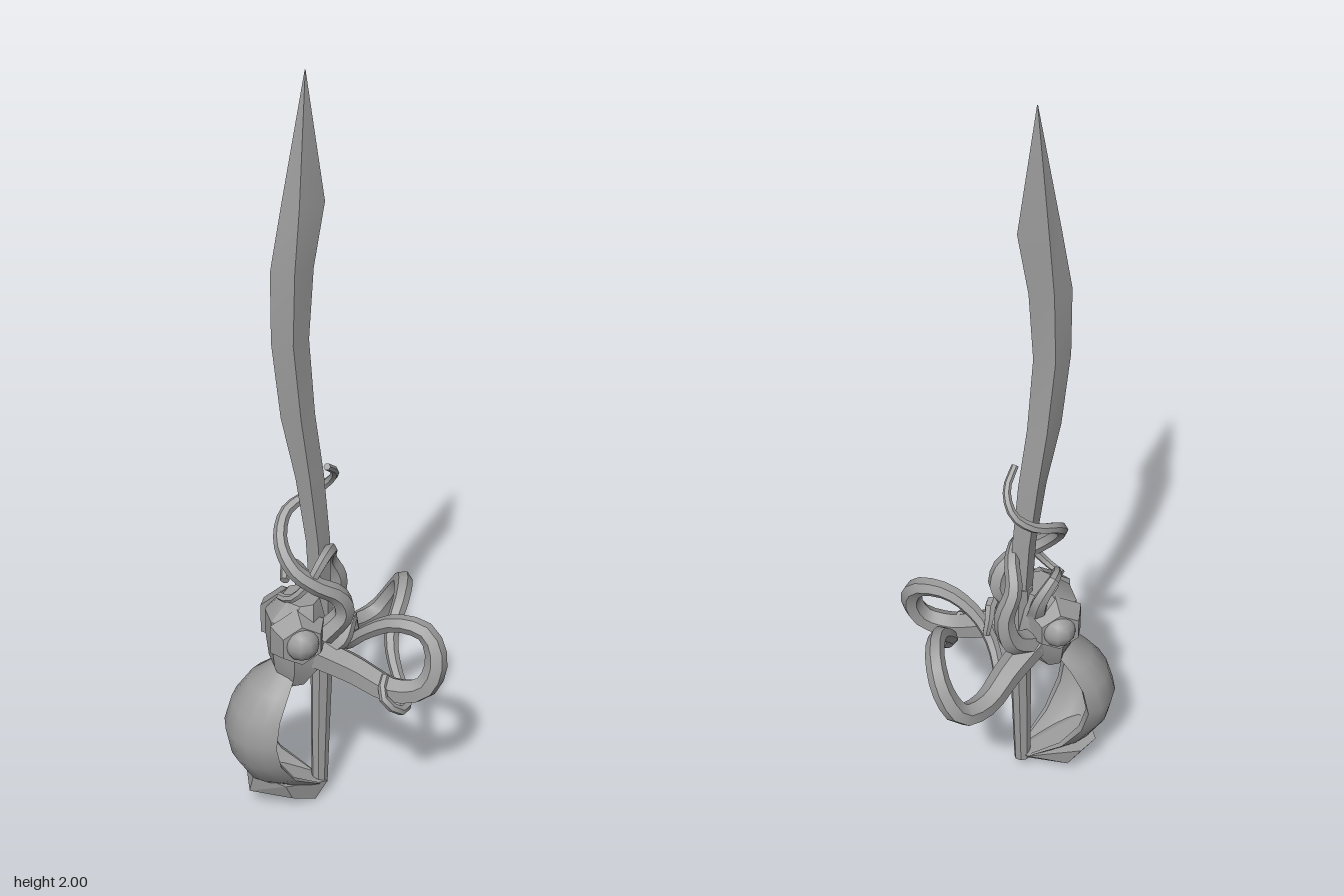
import * as THREE from 'three';
import { toCreasedNormals } from 'three/addons/utils/BufferGeometryUtils.js';
import { ConvexGeometry } from 'three/addons/geometries/ConvexGeometry.js';

const V = (x, y, z) => new THREE.Vector3(x, y, z);

// Skin a list of closed cross-sections and cap both ends, always facing outward.
function loft(rings, crease = 0.5) {
  const n = rings[0].length, tris = [];
  const centre = r => r.reduce((s, p) => s.add(p), V(0, 0, 0)).divideScalar(n);
  for (let i = 0; i < rings.length - 1; i++) {
    for (let j = 0; j < n; j++) {
      const k = (j + 1) % n, a = rings[i], b = rings[i + 1];
      tris.push([a[j], a[k], b[k]], [a[j], b[k], b[j]]);
    }
  }
  const first = rings[0], last = rings[rings.length - 1];
  const c0 = centre(first), c1 = centre(last);
  for (let j = 0; j < n; j++) {
    const k = (j + 1) % n;
    tris.push([c0, first[k], first[j]], [c1, last[j], last[k]]);
  }
  let volume = 0;
  for (const [a, b, c] of tris) volume += a.clone().sub(c0).dot(b.clone().sub(c0).cross(c.clone().sub(c0)));
  const pts = tris.flatMap(([a, b, c]) => volume < 0 ? [a, c, b] : [a, b, c]);
  const geo = new THREE.BufferGeometry().setFromPoints(pts);
  return toCreasedNormals(geo, crease);
}

// Horizontal elliptical ring.
function ellipse(y, cx, cz, rx, rz, sides) {
  return Array.from({ length: sides }, (_, j) => {
    const a = ((j + 0.5) / sides) * Math.PI * 2;
    return V(cx + rx * Math.cos(a), y, cz + rz * Math.sin(a));
  });
}

// Six-sided arm that tapers along a smooth path.
function arm(points, r0, r1, steps) {
  const curve = new THREE.CatmullRomCurve3(points.map(p => V(...p)));
  const f = curve.computeFrenetFrames(steps, false);
  const rings = [];
  for (let i = 0; i <= steps; i++) {
    const t = i / steps, c = curve.getPointAt(t);
    const r = r1 + (r0 - r1) * Math.pow(1 - t, 1.3);
    rings.push(Array.from({ length: 6 }, (_, j) => {
      const a = (j / 6) * Math.PI * 2;
      return c.clone().addScaledVector(f.normals[i], r * Math.cos(a)).addScaledVector(f.binormals[i], r * Math.sin(a));
    }));
  }
  return loft(rings, 0.6);
}

export function createModel() {
  const model = new THREE.Group();
  const grey = new THREE.MeshStandardMaterial({ color: 0x9c9c9c });
  grey.name = 'grey';
  const add = (name, geo) => {
    const m = new THREE.Mesh(geo, grey);
    m.name = name;
    model.add(m);
    return m;
  };

  // Curved blade: y, left edge, ridge, right edge, half thickness
  const blade = [
    [0.62, -0.035, -0.01, 0.022, 0.022],
    [0.8, -0.045, -0.02, 0.017, 0.024],
    [0.98, -0.07, -0.04, 0.002, 0.026],
    [1.15, -0.105, -0.062, -0.02, 0.028],
    [1.35, -0.126, -0.08, -0.034, 0.029],
    [1.53, -0.126, -0.075, -0.022, 0.029],
    [1.69, -0.098, -0.062, 0.005, 0.026],
    [2, -0.041, -0.04, -0.039, 0.001]
  ].map(([y, l, m, r, t]) => [V(l, y, -0.01), V(m, y, -0.01 + t), V(r, y, -0.01), V(m, y, -0.01 - t)]);
  add('blade', loft(blade, 0.3));

  // Slim grip
  add('grip', loft([
    ellipse(0.04, -0.012, -0.005, 0.022, 0.018, 8),
    ellipse(0.25, -0.008, -0.008, 0.026, 0.02, 8),
    ellipse(0.45, -0.004, -0.01, 0.03, 0.023, 8),
    ellipse(0.66, -0.006, -0.01, 0.03, 0.024, 8)
  ]));

  // Hollow knuckle guard: outer x, outer y, rim x, rim y, half width
  const shell = [
    [-0.13, 0.45, -0.09, 0.44, 0.05],
    [-0.2, 0.4, -0.12, 0.4, 0.088],
    [-0.245, 0.34, -0.148, 0.34, 0.11],
    [-0.265, 0.27, -0.16, 0.27, 0.122],
    [-0.25, 0.19, -0.145, 0.2, 0.11],
    [-0.21, 0.12, -0.1, 0.125, 0.08],
    [-0.15, 0.06, -0.02, 0.06, 0.03]
  ].map(([ox, oy, rx, ry, w]) => {
    const ring = [], n = 8;
    for (let j = 0; j <= n; j++) {
      const a = (j / n - 0.5) * Math.PI, c = Math.cos(a);
      ring.push(V(rx + (ox - rx) * c, ry + (oy - ry) * c, w * Math.sin(a)));
    }
    for (let j = n; j >= 0; j--) {
      const a = (j / n - 0.5) * Math.PI, c = 0.8 * Math.cos(a);
      ring.push(V(rx + (ox - rx) * c, ry + (oy - ry) * c, 0.8 * w * Math.sin(a)));
    }
    return ring;
  });
  add('guardShell', loft(shell, 0.7));

  // Faceted pommel under the guard
  add('pommel', toCreasedNormals(new ConvexGeometry([
    V(-0.2, 0.13, 0.03), V(-0.21, 0.07, 0.02), V(-0.2, 0.12, -0.07), V(-0.15, 0.115, -0.1),
    V(-0.12, 0.05, -0.075), V(-0.03, 0.004, 0.02), V(0.005, 0.05, 0.012), V(-0.02, 0.06, -0.03),
    V(-0.12, 0.09, 0.055), V(-0.1, 0.04, 0.045)
  ]), 0.2));

  // Head
  add('head', loft([
    ellipse(0.41, -0.085, 0, 0.04, 0.06, 8),
    ellipse(0.46, -0.07, 0, 0.075, 0.08, 8),
    ellipse(0.53, -0.07, 0, 0.083, 0.09, 8),
    ellipse(0.6, -0.078, 0, 0.075, 0.085, 8),
    ellipse(0.645, -0.06, 0, 0.045, 0.055, 8)
  ], 0.5));

  // Eyes in raised sockets
  for (const s of [1, -1]) {
    const socket = add('eyeSocket', toCreasedNormals(new THREE.CylinderGeometry(0.056, 0.08, 0.05, 6), 0.4));
    socket.rotation.x = s * Math.PI / 2;
    socket.position.set(-0.085, 0.56, s * 0.075);
    const eye = add('eye', new THREE.SphereGeometry(0.046, 10, 8));
    eye.position.set(-0.083, 0.563, s * 0.087);
  }

  // Two large looping arms that cross on the far side of the grip
  add('frontLoopArm', arm([
    [-0.04, 0.5, 0.04], [0.05, 0.46, 0.09], [0.14, 0.42, 0.155], [0.21, 0.44, 0.188], [0.24, 0.51, 0.185],
    [0.225, 0.575, 0.15], [0.16, 0.585, 0.1], [0.1, 0.54, 0.05], [0.07, 0.48, 0], [0.07, 0.43, -0.07], [0.09, 0.4, -0.13]
  ], 0.045, 0.014, 28));
  add('backLoopArm', arm([
    [-0.04, 0.5, -0.04], [0.05, 0.46, -0.1], [0.13, 0.42, -0.16], [0.2, 0.43, -0.19], [0.24, 0.5, -0.17],
    [0.245, 0.57, -0.11], [0.22, 0.57, -0.04], [0.17, 0.49, 0.03], [0.17, 0.41, 0.1], [0.18, 0.38, 0.15],
    [0.14, 0.385, 0.195], [0.1, 0.43, 0.18], [0.12, 0.46, 0.14]
  ], 0.042, 0.011, 32));

  // Arms coiled around the blade
  add('upperCoilArm', arm([
    [-0.02, 0.55, 0.05], [0.035, 0.61, 0.055], [0.02, 0.67, 0.065], [-0.04, 0.71, 0.065], [-0.09, 0.75, 0.045],
    [-0.112, 0.81, 0], [-0.085, 0.865, -0.05], [-0.02, 0.895, -0.07], [0.025, 0.93, -0.055],
    [0.032, 0.98, -0.015], [0, 1.02, 0.025]
  ], 0.032, 0.009, 30));
  add('lowerCoilArm', arm([
    [-0.03, 0.5, -0.05], [0.04, 0.55, -0.085], [0.058, 0.63, -0.085], [0.03, 0.7, -0.07], [0.018, 0.76, -0.01],
    [-0.015, 0.77, 0.045], [-0.06, 0.71, 0.06], [-0.1, 0.665, 0.04], [-0.12, 0.66, 0.01]
  ], 0.036, 0.01, 26));
  add('backCoilArm', arm([
    [-0.04, 0.58, -0.04], [-0.04, 0.66, -0.075], [-0.08, 0.71, -0.06], [-0.1, 0.69, -0.01]
  ], 0.028, 0.012, 10));

  // Small curled arm beside the grip
  add('smallCurlArm', arm([
    [-0.02, 0.5, 0.04], [0.03, 0.53, 0.055], [0.06, 0.58, 0.035], [0.075, 0.55, 0.005], [0.085, 0.51, -0.002]
  ], 0.03, 0.01, 14));

  return model;
}
